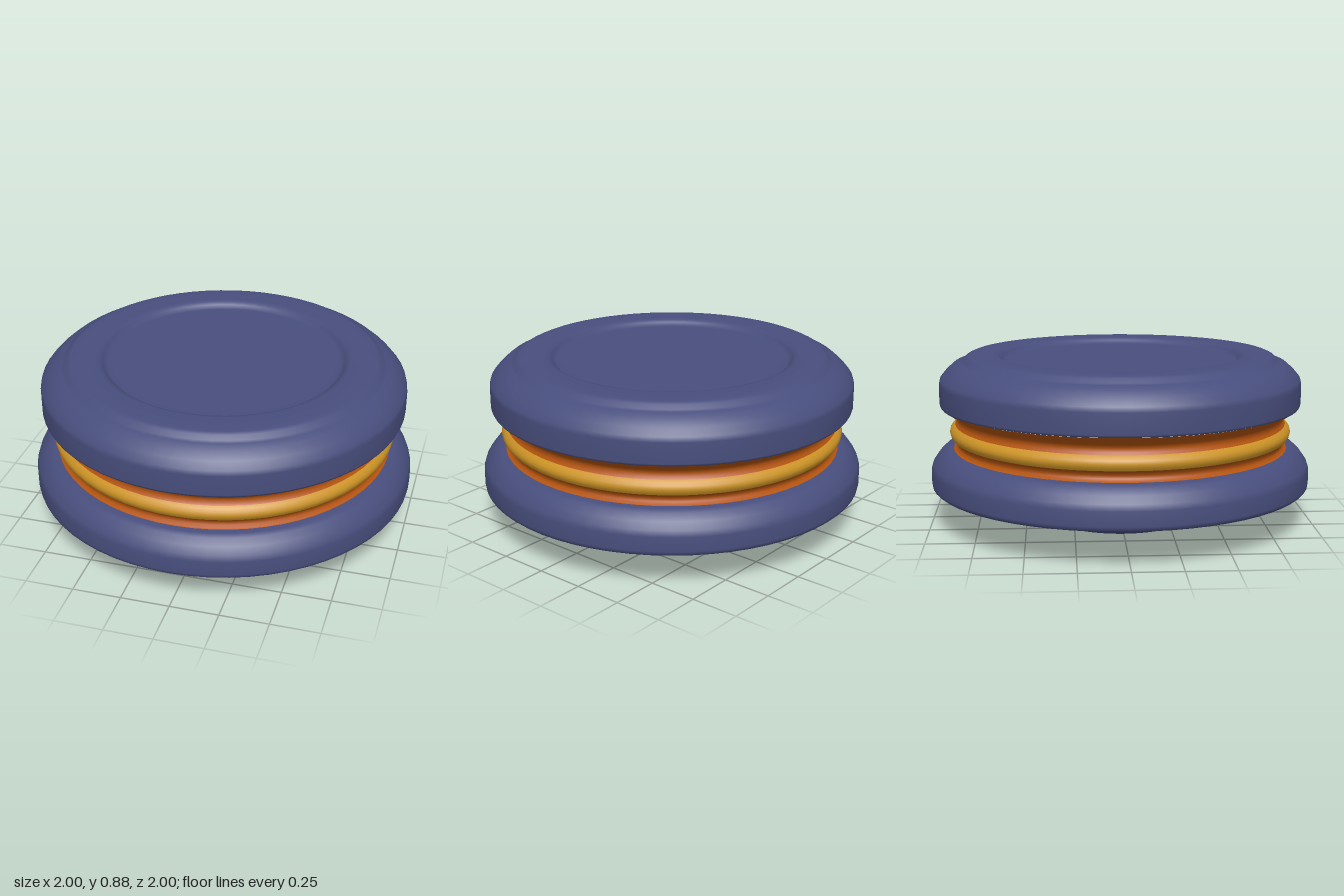
import * as THREE from 'three';

export function createModel() {
  const model = new THREE.Group();
  const mat = (name, color) => {
    const m = new THREE.MeshStandardMaterial({ color });
    m.name = name;
    return m;
  };
  const blue = mat('slate blue', 0x484e7d);
  const orange = mat('burnt orange', 0xb5540f);
  const gold = mat('gold', 0xcc9326);

  // Profiles run from the underside outward, up, and back in
  const turn = (name, material, profile) => {
    const points = profile.map(([r, y]) => new THREE.Vector2(r, y));
    const mesh = new THREE.Mesh(new THREE.LatheGeometry(points, 64), material);
    mesh.name = name;
    model.add(mesh);
  };

  // Rounded socket in the underside
  turn('socket', orange, [
    [0, 0.18], [0.12, 0.175], [0.2, 0.155], [0.25, 0.12], [0.275, 0.06], [0.285, 0],
  ]);

  // Lower disc with a flared foot
  turn('lowerDisc', blue, [
    [0.285, 0], [0.36, 0], [0.39, 0.005], [0.43, 0.02], [0.49, 0.06], [0.56, 0.09],
    [0.7, 0.125], [0.96, 0.185], [0.985, 0.19], [0.997, 0.2], [1, 0.215],
    [1, 0.29], [0.99, 0.32], [0.965, 0.355], [0.935, 0.385], [0.91, 0.394], [0.88, 0.396],
  ]);

  // Waist grooves either side of the gold ring
  turn('lowerGroove', orange, [
    [0.89, 0.394], [0.872, 0.398], [0.862, 0.41], [0.86, 0.425], [0.872, 0.442], [0.885, 0.452],
  ]);
  turn('goldRing', gold, [
    [0.885, 0.452], [0.896, 0.468], [0.9, 0.485], [0.896, 0.502], [0.884, 0.516], [0.872, 0.525],
  ]);
  turn('upperGroove', orange, [
    [0.872, 0.525], [0.862, 0.537], [0.86, 0.555], [0.868, 0.572], [0.895, 0.592],
    [0.92, 0.607], [0.935, 0.62],
  ]);

  // Upper disc with a stepped shoulder and a shallow dished top
  turn('upperDisc', blue, [
    [0.93, 0.62], [0.945, 0.623], [0.95, 0.635], [0.95, 0.74], [0.944, 0.765],
    [0.915, 0.8], [0.875, 0.835], [0.84, 0.848], [0.825, 0.856], [0.808, 0.874],
    [0.79, 0.882], [0.76, 0.884], [0.66, 0.884], [0.64, 0.88], [0.625, 0.868],
    [0.615, 0.856], [0.6, 0.852], [0.57, 0.852], [0, 0.852],
  ]);

  return model;
}
